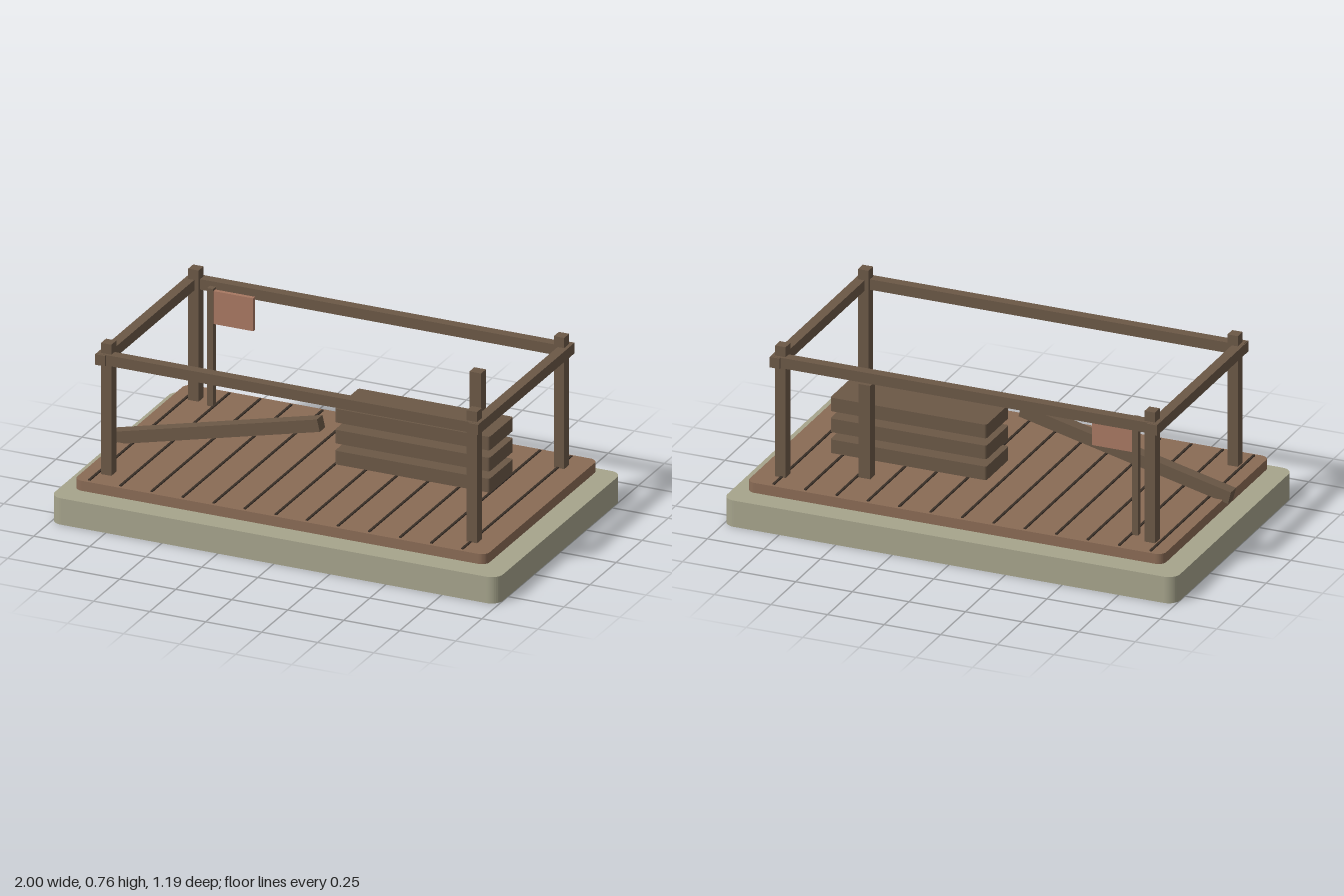
import * as THREE from 'three';

const mat = (color) => new THREE.MeshStandardMaterial({ color });

export function createModel() {
  const group = new THREE.Group();
  const stone = mat(0xa6a48c), deckWood = mat(0x8a6b55), beamWood = mat(0x6b5846);
  const signWood = mat(0xa87862), gapDark = mat(0x3a3028);

  const add = (name, geometry, material) => {
    const mesh = new THREE.Mesh(geometry, material);
    mesh.name = name;
    group.add(mesh);
    return mesh;
  };

  // Box given by its ranges on each axis
  const block = (name, [x0, x1], [y0, y1], [z0, z1], material = beamWood) => {
    const mesh = add(name, new THREE.BoxGeometry(x1 - x0, y1 - y0, z1 - z0), material);
    mesh.position.set((x0 + x1) / 2, (y0 + y1) / 2, (z0 + z1) / 2);
    return mesh;
  };

  // Horizontal slab with rounded vertical corners
  const slab = (name, w, d, r, [y0, y1], material, x = 0, z = 0) => {
    const a = w / 2, b = d / 2;
    const s = new THREE.Shape();
    s.absarc(a - r, b - r, r, 0, Math.PI / 2);
    s.absarc(r - a, b - r, r, Math.PI / 2, Math.PI);
    s.absarc(r - a, r - b, r, Math.PI, Math.PI * 1.5);
    s.absarc(a - r, r - b, r, Math.PI * 1.5, Math.PI * 2);
    s.closePath();
    const g = new THREE.ExtrudeGeometry(s, { depth: y1 - y0, bevelEnabled: false, curveSegments: 5 });
    g.rotateX(-Math.PI / 2);
    add(name, g, material).position.set(x, y0, z);
  };

  // Stone base and plank deck hovering just above it
  slab('base', 2, 1.194, 0.05, [0, 0.116], stone);
  slab('deck', 1.84, 1.076, 0.035, [0.138, 0.182], deckWood);
  for (let i = 0; i < 13; i++) {
    const x = -0.858 + i * 0.1387;
    block('plankGap', [x - 0.005, x + 0.005], [0.175, 0.187], [-0.523, 0.523], gapDark);
  }

  // Corner posts
  for (const x of [-0.82, 0.812]) {
    for (const z of [-0.418, 0.418]) {
      block('cornerPost', [x - 0.023, x + 0.023], [0.18, 0.76], [z - 0.024, z + 0.024]);
    }
  }

  // Top rails, set slightly outward from the posts
  for (const z of [-0.432, 0.432]) {
    block('longRail', [-0.856, 0.85], [0.67, 0.716], [z - 0.022, z + 0.022]);
  }
  for (const x of [-0.838, 0.828]) {
    block('sideRail', [x - 0.022, x + 0.022], [0.669, 0.715], [-0.463, 0.463]);
  }

  // Stack of three boards and the short post behind it
  for (let i = 0; i < 3; i++) {
    const y = 0.215 + i * 0.0925;
    slab('stackedBoard', 0.69, 0.228, 0.01, [y, y + 0.06], beamWood, 0.35, -0.093);
  }
  block('shortPost', [0.47, 0.522], [0.18, 0.595], [-0.317, -0.269]);

  // Fallen beam leaning up toward the middle
  const beam = add('fallenBeam', new THREE.BoxGeometry(0.952, 0.054, 0.052), beamWood);
  beam.position.set(-0.486, 0.306, 0.093);
  beam.rotation.z = 0.237;

  // Sign board on a thin post
  block('signPost', [-0.749, -0.722], [0.18, 0.7], [-0.4, -0.373]);
  block('signBoard', [-0.73, -0.545], [0.545, 0.69], [-0.395, -0.377], signWood);

  return group;
}
